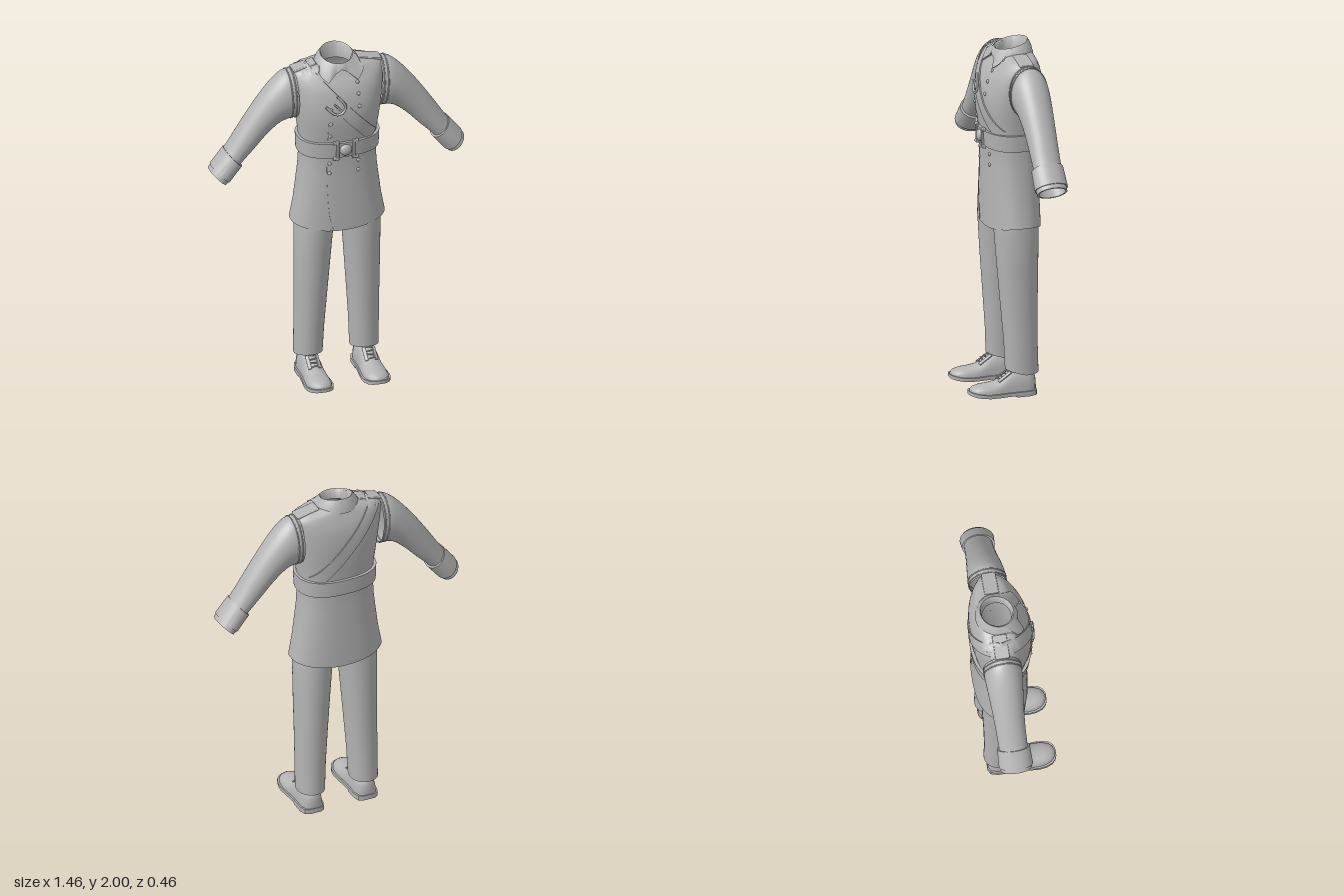
import * as THREE from 'three';
import { toCreasedNormals } from 'three/addons/utils/BufferGeometryUtils.js';
import { RoundedBoxGeometry } from 'three/addons/geometries/RoundedBoxGeometry.js';

const V = (x, y, z) => new THREE.Vector3(x, y, z);
const cloth = new THREE.MeshStandardMaterial({ color: 0xb4b4b4, side: THREE.DoubleSide });
cloth.name = 'grey cloth';

// Skin a list of equal-length rings; optionally wrap each ring and cap both ends.
function loft(rings, { closed = true, cap = false, crease = 0.9 } = {}) {
  const n = rings[0].length, pts = rings.flat().map(p => p.clone()), idx = [];
  for (let r = 0; r < rings.length - 1; r++)
    for (let i = 0; i < (closed ? n : n - 1); i++) {
      const a = r * n + i, b = r * n + (i + 1) % n;
      idx.push(a, a + n, b, b, a + n, b + n);
    }
  if (cap) for (const r of [0, rings.length - 1]) {
    const c = rings[r].reduce((s, p) => s.add(p), V(0, 0, 0)).divideScalar(n);
    pts.push(c);
    for (let i = 0; i < n; i++) {
      const a = r * n + i, b = r * n + (i + 1) % n;
      idx.push(pts.length - 1, ...(r ? [b, a] : [a, b]));
    }
  }
  const g = new THREE.BufferGeometry().setFromPoints(pts);
  g.setIndex(idx);
  return toCreasedNormals(g, crease);
}

// Horizontal superellipse ring.
function ring(cx, y, hw, zf, zb, n = 2, count = 48) {
  const pw = v => Math.sign(v) * Math.abs(v) ** (2 / n);
  return Array.from({ length: count }, (_, i) => {
    const a = i / count * Math.PI * 2;
    return V(cx + hw * pw(Math.cos(a)), y, (zf + zb) / 2 + (zf - zb) / 2 * pw(Math.sin(a)));
  });
}

// Coat sections: height, half width, front z, back z.
const COAT = [
  [0.945, 0.268, 0.088, -0.21], [1.1, 0.245, 0.088, -0.208], [1.3, 0.22, 0.085, -0.205],
  [1.45, 0.212, 0.087, -0.202], [1.53, 0.22, 0.098, -0.21], [1.6, 0.23, 0.11, -0.218],
  [1.66, 0.238, 0.114, -0.222], [1.72, 0.246, 0.111, -0.224], [1.78, 0.253, 0.098, -0.222],
  [1.83, 0.258, 0.08, -0.215], [1.87, 0.26, 0.055, -0.203], [1.905, 0.256, 0.027, -0.187],
  [1.922, 0.205, 0.022, -0.18], [1.938, 0.12, 0.02, -0.172], [1.95, 0.092, 0.012, -0.162],
];
const N = 2.4;
function coatAt(y) {
  let i = 0;
  while (i < COAT.length - 2 && COAT[i + 1][0] < y) i++;
  const a = COAT[i], b = COAT[i + 1], t = THREE.MathUtils.clamp((y - a[0]) / (b[0] - a[0]), 0, 1);
  return a.map((v, k) => v + (b[k] - v) * t);
}
function coatRing(y, off = 0) {
  const [, hw, zf, zb] = coatAt(y);
  return ring(0, y, hw + off, zf + off, zb - off, N, 72);
}
// Depth of the coat surface at (x, y); side is 1 for front, -1 for back.
function coatZ(x, y, side = 1) {
  const [, hw, zf, zb] = coatAt(y), c = Math.min(1, Math.abs(x) / hw);
  return (zf + zb) / 2 + side * (zf - zb) / 2 * (1 - c ** N) ** (1 / N);
}
// Flat band following the coat between two edge lines, with thin sides.
function band(path, width, lift, side) {
  const rings = path.map((p, i) => {
    const q = path[Math.min(i + 1, path.length - 1)], o = path[Math.max(i - 1, 0)];
    const d = q.clone().sub(o).normalize(), row = [];
    for (let k = 0; k <= 6; k++) {
      const w = (k / 6 - 0.5) * width, x = p.x - d.y * w, y = p.y + d.x * w;
      const z = coatZ(x, y, side);
      if (k === 0) row.push(V(x, y, z - side * 0.004));
      row.push(V(x, y, z + side * lift));
      if (k === 6) row.push(V(x, y, z - side * 0.004));
    }
    return row;
  });
  return loft(rings, { closed: false });
}

export function createModel() {
  const model = new THREE.Group();
  model.name = 'uniform';
  const add = (name, geo, pos) => {
    const m = new THREE.Mesh(geo, cloth);
    m.name = name;
    if (pos) m.position.set(...pos);
    model.add(m);
    return m;
  };

  // Coat body with a hem that rises a little at the sides
  const body = COAT.map(s => coatRing(s[0]));
  body[0].forEach(p => { p.y += 0.035 * (p.x / 0.268) ** 2; });
  add('coat', loft(body, { crease: 1.2 }));

  // Front overlap seam
  const seam = new THREE.CatmullRomCurve3([V(-0.09, 1.86, 0), V(-0.095, 1.5, 0), V(-0.095, 1.25, 0), V(-0.08, 1.03, 0), V(-0.06, 0.955, 0)]);
  add('frontSeam', band(seam.getPoints(30), 0.007, 0.002, 1));

  // Belt and its clasp
  const belt = [[1.412, 0], [1.412, 0.016], [1.505, 0.016], [1.505, 0]];
  add('belt', loft(belt.map(([y, o]) => coatRing(y, o))));
  for (const s of [-1, 1]) {
    add('claspBar', new RoundedBoxGeometry(0.016, 0.115, 0.018, 2, 0.005), [s * 0.046, 1.459, 0.106]);
    for (const e of [-1, 1])
      add('claspArm', new RoundedBoxGeometry(0.03, 0.018, 0.018, 2, 0.005), [s * 0.058, 1.459 + e * 0.049, 0.105]);
  }
  add('claspDisc', new THREE.SphereGeometry(0.034, 24, 12), [0, 1.46, 0.108]).scale.z = 0.6;

  // Diagonal strap over the right shoulder, front and back
  const top = V(-0.2, 1.922, 0), low = V(0.17, 1.505, 0);
  const path = Array.from({ length: 25 }, (_, i) => top.clone().lerp(low, i / 24));
  add('strapFront', band(path, 0.072, 0.007, 1));
  add('strapBack', band(path, 0.072, 0.007, -1));
  const buckle = new THREE.Group();
  buckle.name = 'strapBuckle';
  buckle.position.set(-0.048, 1.735, coatZ(-0.048, 1.735) + 0.012);
  buckle.rotation.z = 0.73;
  model.add(buckle);
  const loop = new THREE.CatmullRomCurve3([V(-0.043, 0.05, -0.01), V(-0.042, 0, 0), V(-0.03, -0.03, 0.004),
    V(0, -0.042, 0.006), V(0.03, -0.03, 0.004), V(0.042, 0, 0), V(0.043, 0.05, -0.01)]);
  buckle.add(new THREE.Mesh(new THREE.TubeGeometry(loop, 32, 0.007, 8), cloth));
  buckle.add(new THREE.Mesh(new RoundedBoxGeometry(0.012, 0.06, 0.012, 2, 0.004), cloth));
  buckle.children.forEach((m, i) => { m.name = ['buckleLoop', 'bucklePin'][i]; });

  // Two button columns, leaving out those under the strap
  for (const x of [-0.085, 0.08])
    for (const y of [1.85, 1.79, 1.72, 1.63, 1.55, 1.37, 1.31]) {
      const strapY = top.y + (x - top.x) / (low.x - top.x) * (low.y - top.y);
      if (Math.abs(y - strapY) < 0.06) continue;
      add('button', new THREE.SphereGeometry(0.011, 12, 8), [x, y, coatZ(x, y)]).scale.z = 0.7;
    }

  // Folded collar: inside wall, top edge, then the fall with two front points
  const inner = [], rim = [], edge = [], mid = [], fall = [], under = [];
  for (let i = 0; i < 72; i++) {
    const a = i / 72 * Math.PI * 2 - Math.PI, s = Math.sin(a), c = Math.cos(a), f = Math.abs(a);
    const y = 1.977 - 0.021 * c;
    inner.push(V(0.08 * s, 1.9, -0.075 + 0.08 * c));
    rim.push(V(0.082 * s, y - 0.006, -0.074 + 0.086 * c));
    edge.push(V(0.09 * s, y, -0.072 + 0.093 * c));
    const drop = f < 0.7 ? 1.928 - 0.063 * f / 0.7 : 1.865 + 0.055 * Math.min(1, (f - 0.7) / 0.8);
    let z = -0.075 + 0.118 * c;
    const x = 0.13 * s;
    if (f < 1.4) z = Math.max(z, coatZ(x, drop) + 0.012);
    const p = V(x, drop, z);
    fall.push(p);
    mid.push(edge[i].clone().lerp(p, 0.5).add(V(0.004 * s, 0.004, 0.004 * c)));
    under.push(V(x * 0.94, drop - 0.002, z - 0.014 * c));
  }
  add('collar', loft([inner, rim, edge, mid, fall, under]));

  // Trouser waist inside the coat
  add('trouserSeat', loft([ring(0, 0.985, 0.225, 0.065, -0.18), ring(0, 1.15, 0.21, 0.07, -0.185)], { cap: true }));

  for (const s of [1, -1]) {
    // Sleeve, lofted between its upper and lower edges (z holds half depth and centre)
    const U = new THREE.CatmullRomCurve3([V(0.245, 1.912, 0.104), V(0.3, 1.902, 0.105), V(0.365, 1.85, 0.1),
      V(0.46, 1.735, 0.09), V(0.55, 1.605, 0.083), V(0.635, 1.475, 0.079), V(0.705, 1.385, 0.076)]);
    const L = new THREE.CatmullRomCurve3([V(0.232, 1.615, -0.083), V(0.285, 1.612, -0.083), V(0.33, 1.597, -0.083),
      V(0.4, 1.54, -0.083), V(0.475, 1.46, -0.081), V(0.555, 1.378, -0.078), V(0.615, 1.3, -0.076)]);
    const armRing = (u, l, k = 1) => Array.from({ length: 40 }, (_, i) => {
      const a = i / 40 * Math.PI * 2, c = Math.cos(a) * k * 0.5;
      return V(s * ((u.x + l.x) / 2 + (u.x - l.x) * c), (u.y + l.y) / 2 + (u.y - l.y) * c, l.z + u.z * k * Math.sin(a));
    });
    const at = (t, k) => armRing(U.getPoint(t), L.getPoint(t), k);
    add('sleeve', loft(Array.from({ length: 25 }, (_, i) => at(i / 24, 1)), { crease: 1.2 }));
    for (const t of [0.04, 0.11])
      add('armholeSeam', new THREE.TubeGeometry(new THREE.CatmullRomCurve3(at(t, 1), true), 60, 0.004, 6, true));

    // Turned-back cuff with an open end
    const A = [V(0.641, 1.472, 0.088), V(0.549, 1.37, -0.077)];
    const B = [V(0.716, 1.377, 0.091), V(0.62, 1.284, -0.075)];
    const C = [V(0.731, 1.358, 0.09), V(0.636, 1.266, -0.075)];
    add('cuff', loft([armRing(...A, 0.85), armRing(...A, 1.03), armRing(...B, 1.04), armRing(...B, 0.96),
      armRing(...C, 0.96), armRing(...C, 0.84), armRing(...A, 0.72)]));

    // Shoulder board
    const board = add('shoulderBoard', new RoundedBoxGeometry(0.135, 0.014, 0.08, 2, 0.005), [s * 0.188, 1.923, -0.08]);
    board.rotation.z = -s * 0.2;

    // Trouser leg: height, centre, half width, front z, back z
    const leg = [[0.125, 0.161, 0.079, 0.014, -0.172], [0.3, 0.157, 0.083, 0.02, -0.168], [0.5, 0.15, 0.09, 0.036, -0.17],
      [0.75, 0.142, 0.1, 0.056, -0.176], [0.93, 0.135, 0.107, 0.068, -0.18], [1.03, 0.122, 0.108, 0.068, -0.18]];
    const legRings = leg.map(([y, c, w, f, b]) => ring(s * c, y, w, f, b, 2.1));
    // Hem arches over the instep
    legRings[0].forEach(p => { p.y += 0.022 * Math.max(0, (p.z + 0.08) / 0.09); });
    const lining = legRings[0].map(p => V(s * 0.161 + (p.x - s * 0.161) * 0.93, p.y + 0.003, -0.079 + (p.z + 0.079) * 0.93));
    add('trouserLeg', loft([lining, ...legRings]));

    // Shoe: z, half width, top height
    const shoe = [[-0.152, 0.025, 0.1], [-0.138, 0.05, 0.13], [-0.1, 0.061, 0.145], [-0.04, 0.06, 0.148], [0, 0.06, 0.138],
      [0.035, 0.062, 0.113], [0.07, 0.066, 0.09], [0.12, 0.07, 0.08], [0.16, 0.067, 0.077], [0.195, 0.054, 0.07],
      [0.214, 0.035, 0.06], [0.223, 0.012, 0.05]];
    const cx = s * 0.163, spring = z => z > 0.08 ? 0.016 * ((z - 0.08) / 0.14) ** 2 : 0;
    add('shoe', loft(shoe.map(([z, w, h]) => Array.from({ length: 24 }, (_, i) => {
      const a = i / 24 * Math.PI * 2, up = Math.max(0, Math.sin(a)) ** 0.85;
      return V(cx + w * Math.cos(a), 0.024 + spring(z) + (h - 0.024 - spring(z)) * up, z);
    })), { cap: true }));
    // Sole and heel share a slab builder
    const slab = (rows, y0, y1) => loft(rows.map(([z, w]) => [[-1, y0], [1, y0], [1, y1], [-1, y1]]
      .map(([k, y]) => V(cx + k * (w + 0.009), y + spring(z), z * 1.025))), { cap: true, crease: 0.7 });
    add('sole', slab(shoe, 0.008, 0.028));
    add('heel', slab([...shoe.slice(0, 4), [-0.03, 0.06, 0]], 0, 0.02));
    // Laces and eyelet flaps on the instep
    for (let i = 0; i < 4; i++) {
      const lace = add('lace', new THREE.CapsuleGeometry(0.004, 0.036, 3, 8), [cx, 0.14 - i * 0.013, 0.006 + i * 0.018]);
      lace.rotation.z = Math.PI / 2 + (i % 2 ? 0.15 : -0.15);
    }
    for (const k of [-1, 1]) {
      const flap = add('laceFlap', new RoundedBoxGeometry(0.02, 0.008, 0.085, 2, 0.003), [cx + k * 0.028, 0.113, 0.03]);
      flap.rotation.set(0.6, 0, -k * 0.4);
    }
  }
  return model;
}
